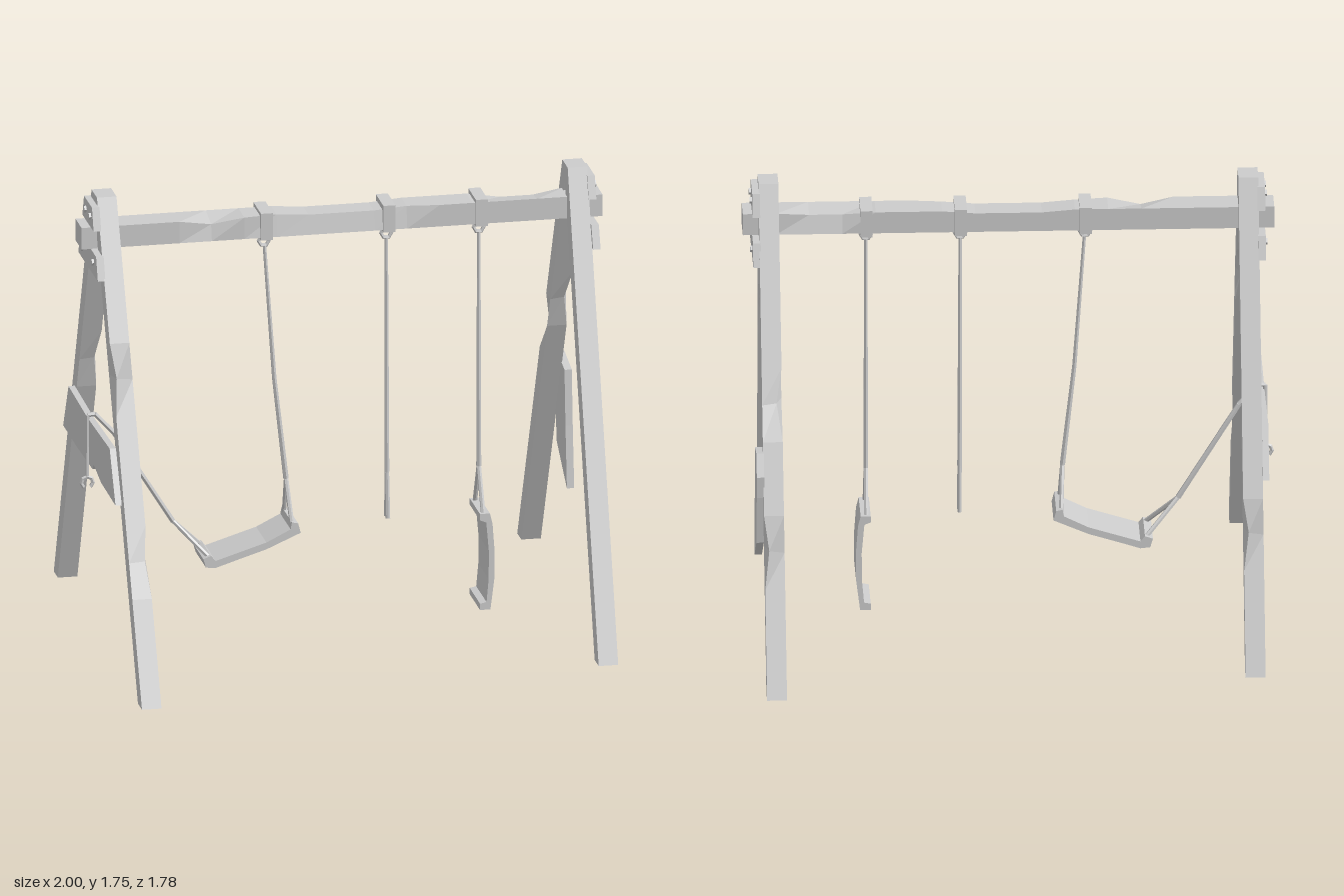
import * as THREE from 'three';

const material = new THREE.MeshStandardMaterial({ color: 0xcccccc, flatShading: true });

function add(parent, geometry, name) {
  const mesh = new THREE.Mesh(geometry, material);
  mesh.name = name;
  parent.add(mesh);
  return mesh;
}

// Timber post with level ends; each chip [height, xSide, zSide, depth] cuts into one corner.
function post(foot, top, width, depth, chips) {
  const rows = 14;
  const g = new THREE.BoxGeometry(width, 1, depth, 1, rows, 1);
  const p = g.attributes.position;
  for (let i = 0; i < p.count; i++) {
    const t = p.getY(i) + 0.5;
    const sx = Math.sign(p.getX(i)), sz = Math.sign(p.getZ(i));
    let x = p.getX(i), z = p.getZ(i);
    const y = THREE.MathUtils.lerp(foot[1], top[1], t);
    for (const [cy, cx, cz, d] of chips) {
      if (cx === sx && cz === sz && Math.abs(cy - y) < 0.065) {
        x -= sx * d;
        z -= sz * d;
      }
    }
    p.setXYZ(i, x + THREE.MathUtils.lerp(foot[0], top[0], t), y,
      z + THREE.MathUtils.lerp(foot[2], top[2], t));
  }
  g.computeVertexNormals();
  return g;
}

// Flat board drawn in (z, y), with its thickness running from x0 to x1.
function board(points, x0, x1) {
  const shape = new THREE.Shape(points.map(([z, y]) => new THREE.Vector2(-z, y)));
  const g = new THREE.ExtrudeGeometry(shape, { depth: x1 - x0, bevelEnabled: false });
  return g.rotateY(Math.PI / 2).translate(x0, 0, 0);
}

// Rope made of straight faceted lengths through the given points.
function rope(parent, points, r0, r1, name) {
  const group = new THREE.Group();
  group.name = name;
  const v = points.map((q) => new THREE.Vector3(...q));
  for (let i = 0; i < v.length - 1; i++) {
    const dir = v[i + 1].clone().sub(v[i]);
    const a = THREE.MathUtils.lerp(r0, r1, i / (v.length - 1));
    const b = THREE.MathUtils.lerp(r0, r1, (i + 1) / (v.length - 1));
    const m = add(group, new THREE.CylinderGeometry(b, a, dir.length(), 6), 'ropeLength');
    m.position.copy(v[i]).addScaledVector(dir, 0.5);
    m.quaternion.setFromUnitVectors(new THREE.Vector3(0, 1, 0), dir.normalize());
  }
  parent.add(group);
}

// Two strands spreading from a split point to both sides of a seat end.
function strands(parent, split, end, spread) {
  for (const s of [-1, 1]) {
    rope(parent, [split, [end[0], end[1], s * spread]], 0.009, 0.009, 'splitStrand');
  }
}

// Sling seat from its side profile.
function seat(parent, points, name) {
  const shape = new THREE.Shape(points.map((q) => new THREE.Vector2(...q)));
  const g = new THREE.ExtrudeGeometry(shape, { depth: 0.194, bevelEnabled: false });
  add(parent, g.translate(0, 0, -0.097), name);
}

export function createModel() {
  const model = new THREE.Group();
  model.name = 'swingSet';

  // Worn top beam
  const beam = new THREE.BoxGeometry(2, 0.085, 0.115, 16, 1, 1).translate(0, 1.597, -0.006);
  const bp = beam.attributes.position;
  for (let i = 0; i < bp.count; i++) {
    const x = bp.getX(i);
    const upper = bp.getY(i) > 1.597, front = bp.getZ(i) > 0;
    if (front && upper && Math.abs(x + 0.5) < 0.06) bp.setXYZ(i, x, 1.617, 0.037);
    if (!front && upper && Math.abs(x - 0.69) < 0.07) bp.setXYZ(i, x, 1.625, -0.043);
    if (upper && Math.abs(x) < 0.2) bp.setY(i, bp.getY(i) - 0.01);
    if (front && upper && Math.abs(x) < 0.3) bp.setZ(i, 0.036);
  }
  beam.computeVertexNormals();
  add(model, beam, 'topBeam');

  // Four legs
  const legs = [
    ['rightFrontLeg', [-0.903, 0, 0.853], [-0.903, 1.755, 0.01], [[1.13, -1, 1, 0.018], [1.25, 1, -1, 0.02], [0.5, 1, 1, 0.012]]],
    ['rightBackLeg', [-0.903, 0.012, -0.722], [-0.903, 1.755, -0.015], [[1.0, 1, 1, 0.015], [0.5, 1, -1, 0.02]]],
    ['leftFrontLeg', [0.877, 0.012, 0.722], [0.903, 1.755, 0.015], [[1.13, 1, -1, 0.01]]],
    ['leftBackLeg', [0.903, 0, -0.853], [0.903, 1.755, -0.01], [[1.13, 1, 1, 0.018], [0.5, 1, -1, 0.018], [1.0, -1, -1, 0.02]]],
  ];
  for (const [name, foot, top, chips] of legs) {
    add(model, post(foot, top, 0.075, 0.076, chips), name);
  }

  // Bolted joining plates on the outside of both frames
  for (const side of [-1, 1]) {
    const joint = new THREE.Group();
    joint.name = side > 0 ? 'leftJoint' : 'rightJoint';
    const x0 = side > 0 ? 0.936 : -0.965, x1 = x0 + 0.029;
    add(joint, board([[0.105, 1.64], [-0.105, 1.64], [-0.075, 1.725], [0.075, 1.725]], x0, x1), 'upperPlate');
    add(joint, board([[0.185, 1.468], [-0.18, 1.468], [-0.147, 1.555], [0.152, 1.555]], x0, x1), 'lowerPlate');
    for (const [z, y] of [[0.052, 1.685], [-0.035, 1.685], [0.105, 1.52], [-0.094, 1.512]]) {
      const bolt = add(joint, new THREE.CylinderGeometry(0.013, 0.013, 0.025, 4), 'bolt');
      bolt.rotation.z = Math.PI / 2;
      bolt.position.set(side * 0.961, y, z);
    }
    model.add(joint);
  }

  // Cross board on the right frame and the broken board hanging on the left frame
  add(model, board([
    [0.52, 0.69], [0.25, 0.693], [0.11, 0.72], [0.09, 0.695], [-0.2, 0.688], [-0.46, 0.69],
    [-0.36, 0.878], [0, 0.868], [0.41, 0.88],
  ], -0.966, -0.942), 'crossBoard');
  add(model, board([
    [-0.315, 0.36], [-0.505, 0.485], [-0.54, 0.68], [-0.545, 0.765], [-0.5, 0.845], [-0.36, 0.815], [-0.342, 0.6],
  ], 0.938, 0.966), 'brokenBoard');

  // Beam straps with hanging shackles
  for (const x of [-0.29, 0.18, 0.535]) {
    const strap = add(model, new THREE.BoxGeometry(0.046, 0.106, 0.145), 'beamStrap');
    strap.position.set(x, 1.6, -0.012);
    const ring = add(model, new THREE.TorusGeometry(0.02, 0.008, 5, 6), 'shackle');
    ring.position.set(x, 1.527, 0);
  }

  // Swing with one rope torn loose and thrown over the cross board
  rope(model, [[-0.288, 1.51, 0], [-0.25, 0.98, 0], [-0.205, 0.58, 0]], 0.007, 0.011, 'slantedRope');
  strands(model, [-0.205, 0.58, 0], [-0.197, 0.41], 0.08);
  strands(model, [-0.64, 0.44, 0], [-0.51, 0.305], 0.08);
  rope(model, [
    [-0.64, 0.44, 0], [-0.87, 0.81, 0.01], [-0.942, 0.888, 0.015], [-0.969, 0.885, 0.015], [-0.972, 0.645, 0.018],
  ], 0.011, 0.007, 'looseRope');
  const hook = add(model, new THREE.TorusGeometry(0.022, 0.008, 5, 6, Math.PI * 1.6), 'openShackle');
  hook.position.set(-0.972, 0.62, 0.018);
  hook.rotation.z = -Math.PI * 0.3;
  seat(model, [
    [-0.532, 0.278], [-0.495, 0.274], [-0.42, 0.298], [-0.3, 0.335], [-0.168, 0.392],
    [-0.178, 0.43], [-0.202, 0.435], [-0.207, 0.408], [-0.3, 0.362], [-0.42, 0.325],
    [-0.495, 0.302], [-0.512, 0.323], [-0.542, 0.312],
  ], 'slingSeat');

  // Bare middle rope whose seat is missing
  rope(model, [[0.18, 1.51, 0], [0.182, 0.58, 0]], 0.007, 0.01, 'middleRope');
  strands(model, [0.182, 0.58, 0], [0.183, 0.4], 0.016);

  // Seat hanging by one end from a single rope
  rope(model, [[0.535, 1.51, 0], [0.535, 0.58, 0]], 0.007, 0.01, 'straightRope');
  strands(model, [0.535, 0.58, 0], [0.536, 0.41], 0.08);
  seat(model, [
    [0.52, 0.04], [0.56, 0.04], [0.575, 0.16], [0.576, 0.27], [0.568, 0.38], [0.558, 0.42],
    [0.52, 0.42], [0.52, 0.395], [0.544, 0.385], [0.554, 0.27], [0.553, 0.16], [0.545, 0.07], [0.52, 0.065],
  ], 'hangingSeat');

  return model;
}
